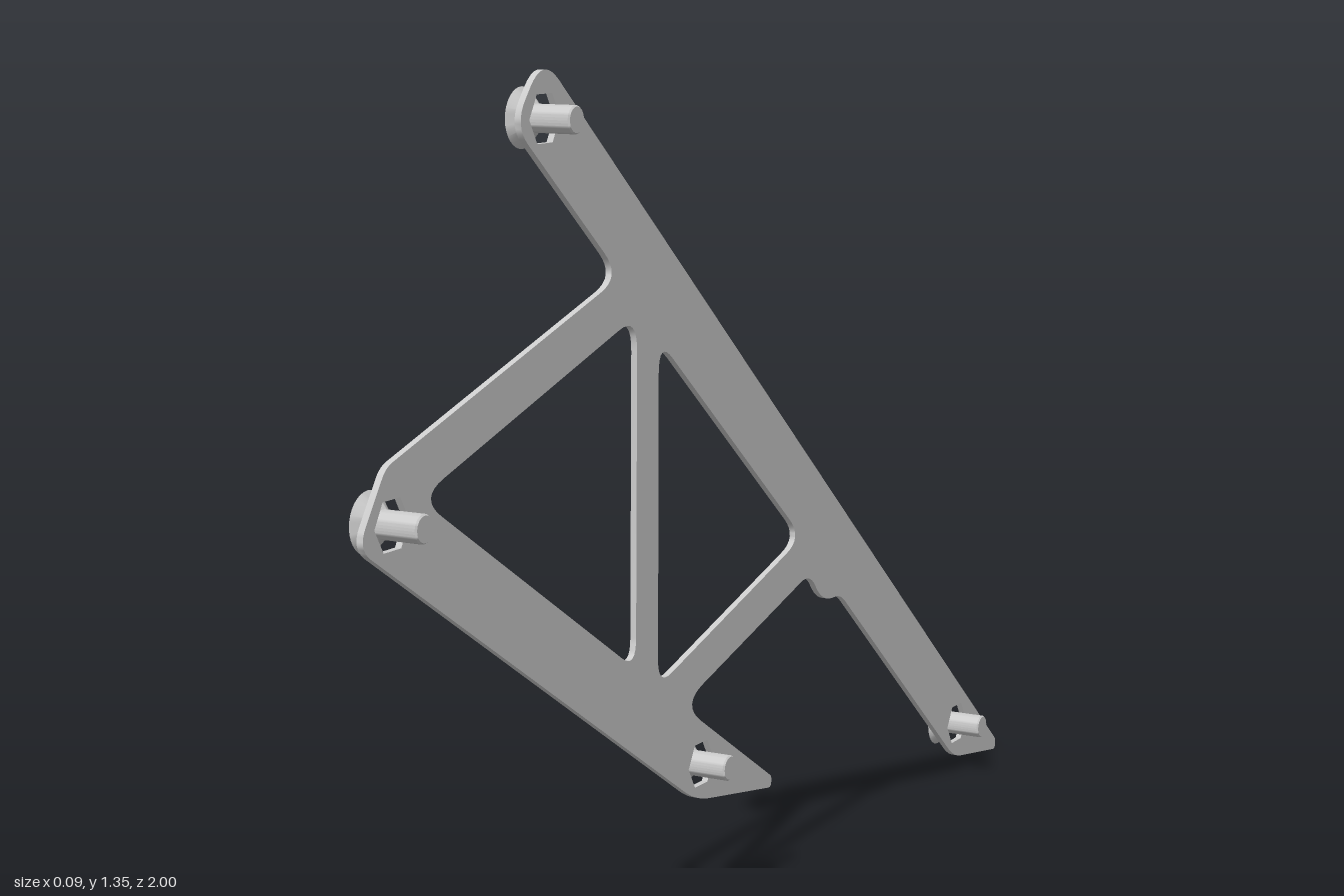
import * as THREE from 'three';
import { toCreasedNormals } from 'three/addons/utils/BufferGeometryUtils.js';

// drafting coordinates -> model units (u runs toward -z, v is up)
const S = 186.8;
const U = (x) => (x - 686) / S;
const V = (y) => (349 - y) / S;

// closed outline with rounded corners; each corner is [x, y, rounding length]
function roundedOutline(target, corners) {
  const pts = corners.map(([x, y, r]) => ({ p: new THREE.Vector2(U(x), V(y)), r: r / S }));
  const n = pts.length;
  pts.forEach(({ p, r }, i) => {
    const prev = pts[(i + n - 1) % n].p;
    const next = pts[(i + 1) % n].p;
    const a = prev.clone().sub(p).setLength(r).add(p);
    const b = next.clone().sub(p).setLength(r).add(p);
    if (i === 0) target.moveTo(a.x, a.y);
    else target.lineTo(a.x, a.y);
    target.quadraticCurveTo(p.x, p.y, b.x, b.y);
  });
  target.closePath();
  return target;
}

const boltSpots = [[582, 109.5], [511.3, 203], [662, 301], [839.7, 331.7]];

export function createModel() {
  const model = new THREE.Group();
  model.name = 'trussBracket';
  const steel = new THREE.MeshStandardMaterial({ color: 0xcccccc });
  steel.name = 'steel grey';

  // flat plate outline
  const shape = roundedOutline(new THREE.Shape(), [
    [581.5, 93.5, 10], [568, 110.5, 8], [619, 154, 11], [509.3, 188.5, 3],
    [497.3, 206.5, 6], [659, 311.3, 8], [704.8, 319.3, 1.5], [705.5, 316, 1.5], [651, 281, 13],
    [730, 257.5, 6], [738.5, 268.3, 7], [751, 268.5, 4], [838, 343.3, 6],
    [872.5, 349, 1.5], [873, 345.5, 1.5],
  ]);

  // two triangular windows
  const windows = [
    [[627.5, 165.5, 10], [523, 198.5, 11], [625.5, 264.5, 9]],
    [[639, 173.5, 10], [725, 245.3, 11], [637.5, 272.3, 8]],
  ];
  windows.forEach((w) => shape.holes.push(roundedOutline(new THREE.Path(), w)));

  // hexagonal bolt holes
  boltSpots.forEach(([x, y]) => {
    const hex = [];
    for (let i = 0; i < 6; i++) {
      const a = (i * Math.PI) / 3;
      hex.push(new THREE.Vector2(U(x) + 0.039 * Math.cos(a), V(y) + 0.039 * Math.sin(a)));
    }
    shape.holes.push(new THREE.Path(hex));
  });

  const plateGeo = new THREE.ExtrudeGeometry(shape, { depth: 0.01, bevelEnabled: false, curveSegments: 8 });
  plateGeo.rotateY(Math.PI / 2);
  plateGeo.translate(-0.0175, 0, 0);
  const plate = new THREE.Mesh(toCreasedNormals(plateGeo, 0.5), steel);
  plate.name = 'plate';
  model.add(plate);

  // countersunk bolt with a shallow socket in its head, pointing along +x
  const profile = [
    [0, -0.036], [0.011, -0.036], [0.011, -0.0445], [0.043, -0.0445],
    [0.02, -0.021], [0.02, 0.042], [0.018, 0.0445], [0, 0.0445],
  ].map(([r, h]) => new THREE.Vector2(r, h));
  const lathe = new THREE.LatheGeometry(profile, 32);
  lathe.rotateZ(-Math.PI / 2);
  const boltGeo = toCreasedNormals(lathe, 0.5);

  boltSpots.forEach(([x, y], i) => {
    const bolt = new THREE.Mesh(boltGeo, steel);
    bolt.name = `bolt${i + 1}`;
    bolt.position.set(0, V(y), -U(x));
    model.add(bolt);
  });

  return model;
}
